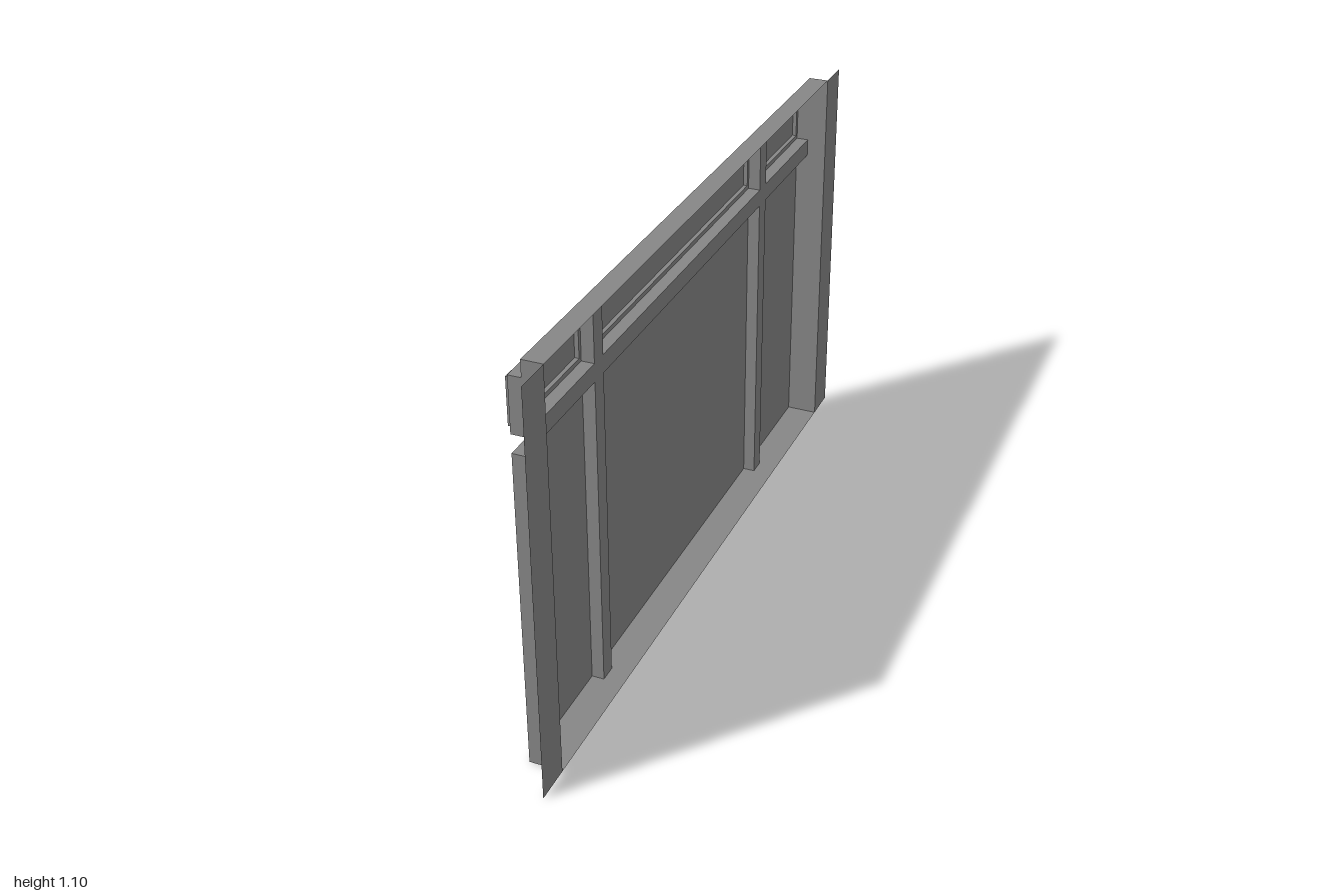
import * as THREE from 'three';

const material = new THREE.MeshStandardMaterial({ color: 0x868686, flatShading: true, side: THREE.DoubleSide });

// Depth levels along x, from the open side to the outermost faces
const OPEN = 0.049, BASE = -0.005, PANEL = -0.038, RAISED = -0.049;
const HEIGHT = 1.1, SIDE = 0.9;

// Rectangles are [z0, z1, y0, y1]
const corners = ([z0, z1, y0, y1]) => [[z0, y0], [z1, y0], [z1, y1], [z0, y1]];

function add(group, name, geometry) {
  const mesh = new THREE.Mesh(geometry, material);
  mesh.name = name;
  group.add(mesh);
}

// Flat sheet facing -x, with rectangular openings
function sheet(rect, x, holes = []) {
  const points = (r) => corners(r).map(([z, y]) => new THREE.Vector2(z, y));
  const shape = new THREE.Shape(points(rect));
  for (const hole of holes) shape.holes.push(new THREE.Path(points(hole).reverse()));
  return new THREE.ShapeGeometry(shape).rotateY(-Math.PI / 2).translate(x, 0, 0);
}

// Four thin walls around a rectangle, from depth xa out to depth xb
function rim(rect, xa, xb) {
  const c = corners(rect), positions = [];
  c.forEach(([z, y], i) => {
    const [z2, y2] = c[(i + 1) % 4];
    positions.push(xa, y, z, xa, y2, z2, xb, y2, z2, xa, y, z, xb, y2, z2, xb, y, z);
  });
  const geometry = new THREE.BufferGeometry();
  geometry.setAttribute('position', new THREE.Float32BufferAttribute(positions, 3));
  geometry.computeVertexNormals();
  return geometry;
}

export function createModel() {
  const model = new THREE.Group();
  model.name = 'panelledCounterFront';

  const bays = [['back', -SIDE, -0.553], ['middle', -0.506, 0.506], ['front', 0.553, SIDE]];

  for (const [name, z0, z1] of bays) {
    // Tall lower panel, hollow from the open side
    const lower = [z0, z1, 0, 0.863];
    const door = new THREE.Group();
    door.name = name + 'LowerPanel';
    add(door, 'panelRim', rim(lower, BASE, PANEL));
    add(door, 'panelFace', sheet(lower, PANEL));
    model.add(door);

    // Upper drawer panel with a raised field
    const upper = [z0, z1, 0.911, 1.056];
    const field = [z0 + 0.011, z1 - 0.011, 0.923, 1.044];
    const drawer = new THREE.Group();
    drawer.name = name + 'UpperPanel';
    add(drawer, 'drawerRim', rim(upper, BASE, PANEL));
    add(drawer, 'drawerBorder', sheet(upper, PANEL, [field]));
    add(drawer, 'fieldRim', rim(field, PANEL, RAISED));
    add(drawer, 'fieldFace', sheet(field, RAISED));
    model.add(drawer);

    // Base surface above and between this bay's panels
    add(model, name + 'TopRail', sheet([z0, z1, 1.056, HEIGHT], BASE));
    add(model, name + 'MiddleRail', sheet([z0, z1, 0.863, 0.911], BASE));
  }

  for (const s of [-1, 1]) {
    const side = s < 0 ? 'back' : 'front';
    const span = (a, b) => [Math.min(s * a, s * b), Math.max(s * a, s * b), 0, HEIGHT];
    // Vertical groove between bays
    add(model, side + 'Stile', sheet(span(0.506, 0.553), BASE));
    // Thin end flange on the open side
    add(model, side + 'Flange', sheet(span(SIDE, 1), OPEN));
  }

  // Outer frame: top, bottom and both ends
  add(model, 'outerFrame', rim([-SIDE, SIDE, 0, HEIGHT], OPEN, BASE));
  return model;
}
